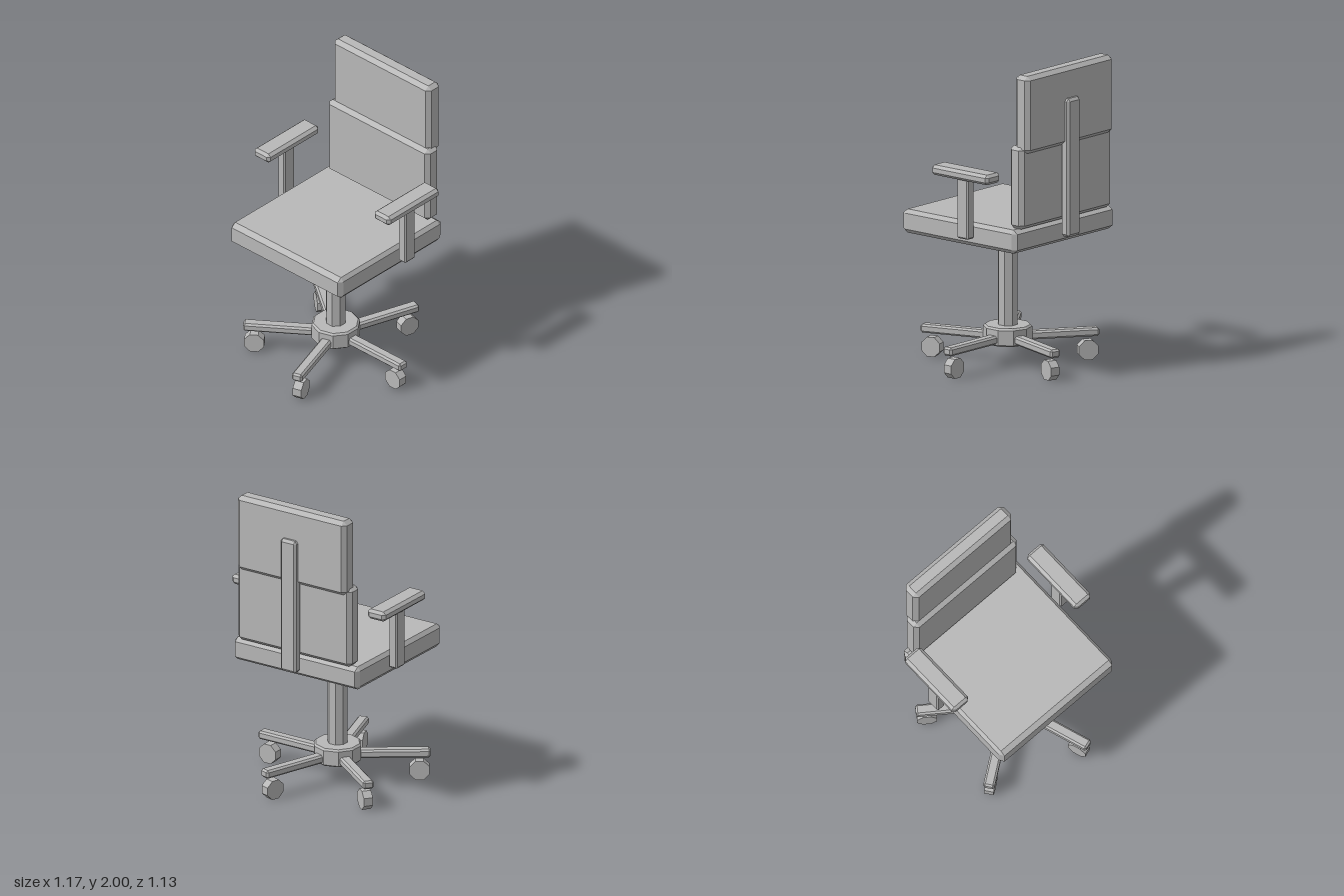
import * as THREE from 'three';
import { ConvexGeometry } from 'three/addons/geometries/ConvexGeometry.js';

export function createModel() {
  const chair = new THREE.Group();
  chair.name = 'officeChair';
  const grey = new THREE.MeshStandardMaterial({ color: 0xb8b8b8, flatShading: true });
  grey.name = 'grey';

  function add(name, geometry, parent = chair) {
    const mesh = new THREE.Mesh(geometry, grey);
    mesh.name = name;
    parent.add(mesh);
    return mesh;
  }

  // Box between two corners with every edge and corner cut off; cut is [x, y, z]
  function chamferBox(min, max, cut) {
    const half = max.map((v, i) => (v - min[i]) / 2);
    const points = [];
    for (const sx of [-1, 1]) for (const sy of [-1, 1]) for (const sz of [-1, 1])
      for (let face = 0; face < 3; face++) {
        const p = half.map((h, i) => (i === face ? h : h - cut[i]));
        points.push(new THREE.Vector3(sx * p[0], sy * p[1], sz * p[2]));
      }
    return new ConvexGeometry(points)
      .translate(...min.map((v, i) => (v + max[i]) / 2));
  }

  // Seat and two overlapping back cushions
  add('seat', chamferBox([-0.475, 0.857, -0.475], [0.475, 1.01, 0.472], [0.02, 0.025, 0.033]));
  add('lowerBackrest', chamferBox([-0.435, 1.01, -0.495], [0.435, 1.545, -0.38], [0.027, 0.025, 0.028]));
  add('upperBackrest', chamferBox([-0.415, 1.5, -0.527], [0.415, 2.0, -0.408], [0.027, 0.025, 0.028]));
  add('backSupport', chamferBox([-0.06, 0.905, -0.557], [0.06, 1.8, -0.49], [0.015, 0.018, 0.015]));

  // Armrests, mirrored
  for (const [side, s] of [['left', 1], ['right', -1]]) {
    const span = (a, b) => (s > 0 ? [a, b] : [-b, -a]);
    const [p0, p1] = span(0.488, 0.55);
    const [r0, r1] = span(0.448, 0.585);
    add(side + 'ArmPost', chamferBox([p0, 0.915, -0.145], [p1, 1.31, -0.05], [0.008, 0.01, 0.01]));
    add(side + 'ArmPad', chamferBox([r0, 1.3, -0.335], [r1, 1.365, 0.138], [0.02, 0.018, 0.018]));
  }

  // Central column and hub
  add('column', new THREE.CylinderGeometry(0.065, 0.065, 0.72, 8).rotateY(Math.PI / 8).translate(0, 0.52, 0));
  const hubProfile = [[0, 0.137], [0.143, 0.137], [0.155, 0.147], [0.155, 0.243], [0.143, 0.255], [0, 0.255]];
  add('hub', new THREE.LatheGeometry(hubProfile.map(([r, y]) => new THREE.Vector2(r, y)), 10).toNonIndexed());

  // Five spokes, each with an octagonal caster that rolls outward
  for (let i = 0; i < 5; i++) {
    const leg = new THREE.Group();
    leg.name = 'leg' + (i + 1);
    leg.rotation.y = (i * Math.PI * 2) / 5;
    add('spoke', chamferBox([0.08, 0.15, -0.036], [0.585, 0.205, 0.036], [0.012, 0.012, 0.012]), leg);
    add('caster', new THREE.CylinderGeometry(0.0677, 0.0677, 0.06, 8)
      .rotateY(Math.PI / 8).rotateX(Math.PI / 2).translate(0.515, 0.0625, 0), leg);
    chair.add(leg);
  }
  return chair;
}
